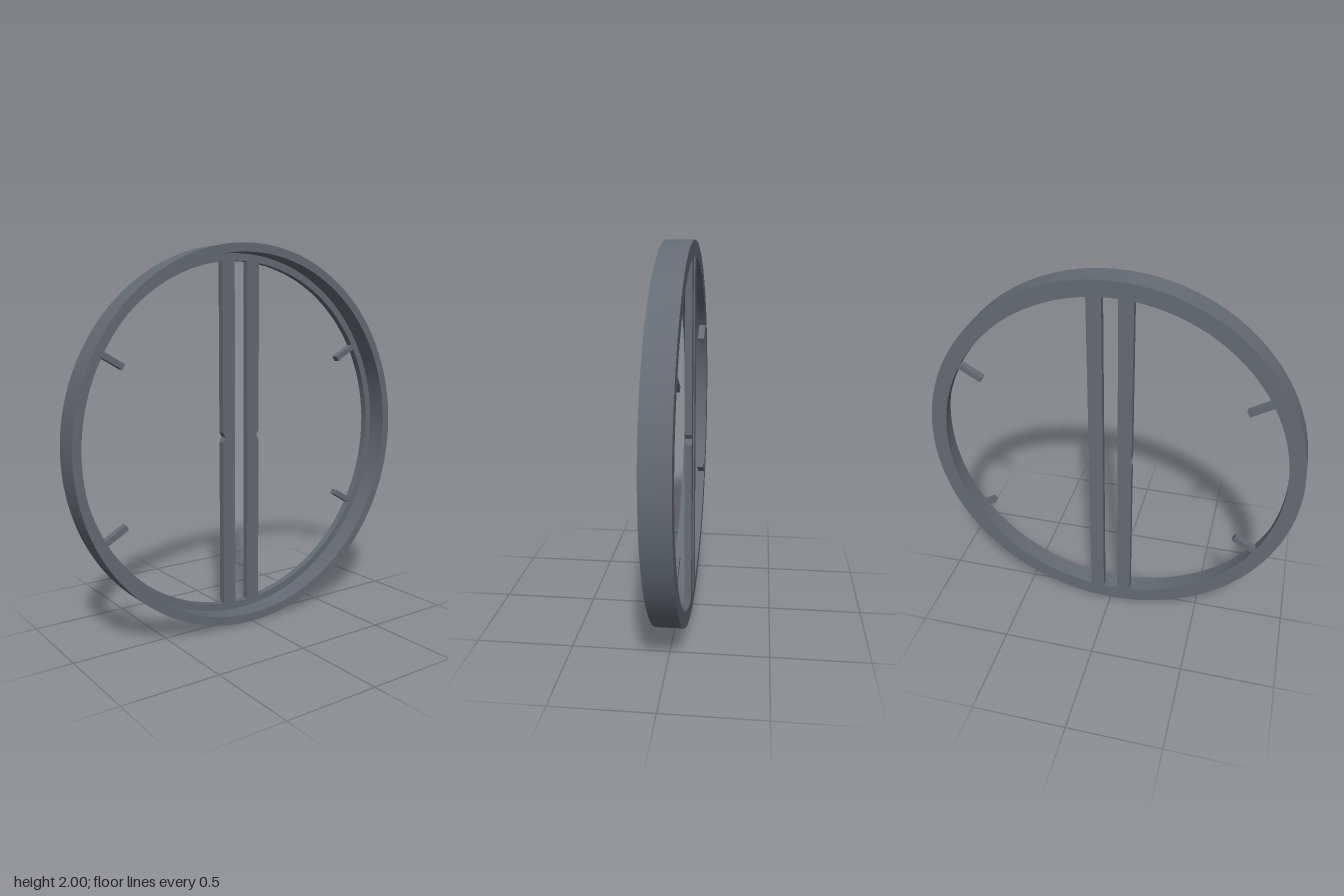
import * as THREE from 'three';
import { toCreasedNormals } from 'three/addons/utils/BufferGeometryUtils.js';

const DEPTH = 0.143;     // full depth of the rim
const THIN = 0.037;      // thickness of lip, bars and pegs at the back
const R_OUT = 1, R_RIM = 0.955, R_LIP = 0.917;

export function createModel() {
  const model = new THREE.Group();
  model.name = 'ringFrame';
  const metal = new THREE.MeshStandardMaterial({ color: 0x646b72 });
  metal.name = 'slate grey';

  // Extrudes a flat outline forwards from the back plane
  const add = (name, shape, depth) => {
    const geo = new THREE.ExtrudeGeometry(shape, { depth, bevelEnabled: false, curveSegments: 64 });
    const mesh = new THREE.Mesh(toCreasedNormals(geo, 0.3), metal);
    mesh.name = name;
    mesh.position.set(0, 1, -DEPTH / 2);
    model.add(mesh);
    return mesh;
  };

  const annulus = (outer, inner) => {
    const shape = new THREE.Shape().absarc(0, 0, outer, 0, Math.PI * 2, false);
    shape.holes.push(new THREE.Path().absarc(0, 0, inner, 0, Math.PI * 2, true));
    return shape;
  };

  // Deep outer rim and the thin lip inside its back edge
  add('outerRim', annulus(R_OUT, R_RIM), DEPTH);
  add('innerLip', annulus(R_RIM, R_LIP), THIN);

  // Twin upright bars, ends cut to the lip, with a small V notch on the outer edge
  const x0 = 0.04, x1 = 0.115;
  const a0 = Math.acos(x0 / R_LIP), a1 = Math.acos(x1 / R_LIP);
  for (const side of [1, -1]) {
    const angle = (a) => (side > 0 ? a : Math.PI - a);
    const bar = new THREE.Shape();
    bar.absarc(0, 0, R_LIP, angle(a1), angle(a0), side < 0);
    bar.absarc(0, 0, R_LIP, angle(-a0), angle(-a1), side < 0);
    bar.lineTo(side * x1, -0.025);
    bar.lineTo(side * (x1 - 0.015), 0.002);
    bar.lineTo(side * x1, 0.027);
    bar.closePath();
    add(side > 0 ? 'leftBar' : 'rightBar', bar, THIN);
  }

  // Four short pegs pointing at the centre
  const half = 0.015, tip = 0.787;
  const end = Math.asin(half / R_LIP);
  for (const degrees of [30, 150, 210, 330]) {
    const peg = new THREE.Shape();
    peg.moveTo(tip, half);
    peg.lineTo(tip, -half);
    peg.absarc(0, 0, R_LIP, -end, end, false);
    peg.closePath();
    add('peg', peg, THIN).rotation.z = THREE.MathUtils.degToRad(degrees);
  }
  return model;
}
